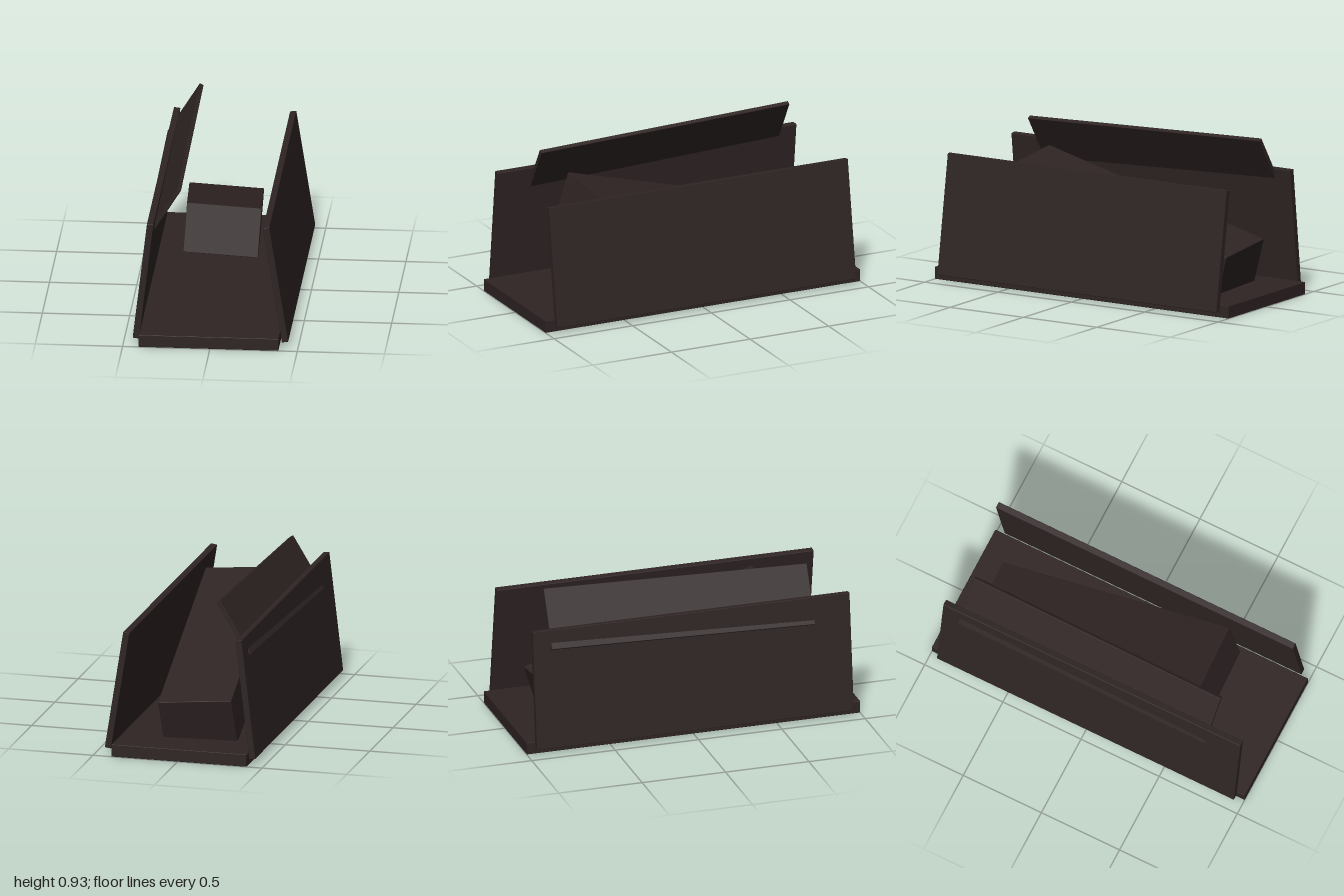
import * as THREE from 'three';
import { RoundedBoxGeometry } from 'three/addons/geometries/RoundedBoxGeometry.js';

export function createModel() {
  const group = new THREE.Group();
  const wood = new THREE.MeshStandardMaterial({ color: 0x2f2424 });
  wood.name = 'dark wood';

  // A plank with very slightly eased edges
  const plank = (name, size, position, rotation = [0, 0, 0]) => {
    const mesh = new THREE.Mesh(new RoundedBoxGeometry(...size, 1, 0.003), wood);
    mesh.name = name;
    mesh.position.set(...position);
    mesh.rotation.set(...rotation);
    group.add(mesh);
  };

  // Floor and the two inward-leaning walls
  plank('base', [0.8, 0.072, 2], [-0.008, 0.036, 0]);
  plank('rightWall', [0.037, 0.702, 1.9], [-0.387, 0.382, 0], [0, 0, -0.117]);
  plank('leftWall', [0.037, 0.702, 1.9], [0.372, 0.382, 0], [0, 0, 0.156]);

  // Loose board leaning through the right wall
  plank('leaningBoard', [0.025, 0.355, 1.58], [-0.289, 0.745, -0.05], [0.031, 0, -0.555]);

  // Solid block tipped up toward the front
  plank('tiltedBlock', [0.428, 0.283, 1.459], [-0.01, 0.378, -0.086], [-0.282, 0.069, -0.058]);

  return group;
}
